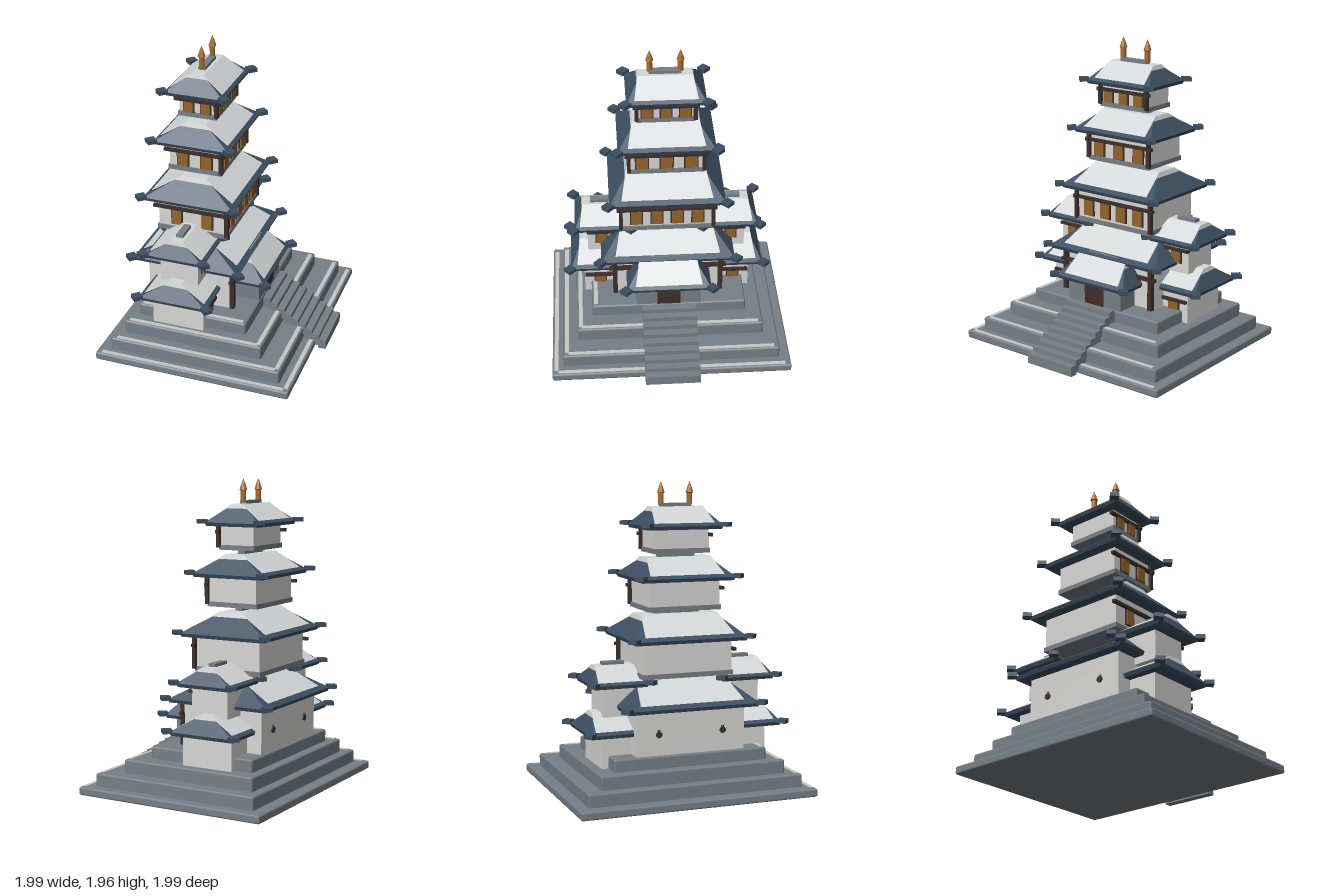
import * as THREE from 'three';
import { RoundedBoxGeometry } from 'three/addons/geometries/RoundedBoxGeometry.js';

const mat = (name, color) => {
  const m = new THREE.MeshStandardMaterial({ color });
  m.name = name;
  return m;
};

export function createModel() {
  const stone = mat('stone', 0x768087);
  const trim = mat('pale stone trim', 0xc6c8c8);
  const plaster = mat('plaster', 0xd6d6d4);
  const tile = mat('blue roof tile', 0x3c4f61);
  const panelWhite = mat('pale roof panel', 0xd3d7d8);
  const wood = mat('dark wood', 0x3e2f2a);
  const gold = mat('amber window', 0x94642a);
  const bronze = mat('bronze', 0xa46c2c);

  const model = new THREE.Group();
  model.name = 'pagodaCastle';
  const castle = new THREE.Group();
  castle.name = 'castle';
  castle.rotation.y = Math.PI / 4; // the plan sits diagonally
  model.add(castle);

  const add = (name, geo, material, x, y, z, parent = castle) => {
    const m = new THREE.Mesh(geo, material);
    m.name = name;
    m.position.set(x, y, z);
    parent.add(m);
    return m;
  };
  // box given by its full size, with y0 as its underside
  const box = (name, material, w, h, d, x, y0, z, parent) =>
    add(name, new THREE.BoxGeometry(w, h, d), material, x, y0 + h / 2, z, parent);
  const bevelBox = (name, material, w, h, d, x, y0, z, r = 0.012) =>
    add(name, new RoundedBoxGeometry(w, h, d, 1, r), material, x, y0 + h / 2, z);

  // four-sided tapered block, half sizes at bottom and top
  function taper(bx, bz, tx, tz, h) {
    const g = new THREE.BoxGeometry(2, h, 2).toNonIndexed();
    const p = g.attributes.position;
    for (let i = 0; i < p.count; i++) {
      const top = p.getY(i) > 0;
      p.setX(i, p.getX(i) * (top ? tx : bx));
      p.setZ(i, p.getZ(i) * (top ? tz : bz));
    }
    g.computeVertexNormals();
    return g;
  }

  // hipped roof: eave slab, tiled hips, pale front and back panels, ridge cap, corner blocks
  function roof(name, hx, hz, x, y0, z, rise, tz, capX) {
    const g = new THREE.Group();
    g.name = name;
    g.position.set(x, y0, z);
    castle.add(g);
    const ex = hx - 0.008, ez = hz - 0.01, tx = hx * 0.62;
    add('eave', taper(ex - 0.008, ez - 0.008, ex, ez, 0.022), tile, 0, 0.011, 0, g);
    add('hips', taper(ex, ez, tx, tz, rise), tile, 0, 0.022 + rise / 2, 0, g);
    const t = 0.16;
    const pz = ez + (tz - ez) * t + 0.007;
    add('panels', taper(hx * 0.77, pz, hx * 0.67, tz + 0.007, rise * (1 - t) + 0.002), panelWhite,
      0, 0.022 + rise * (1 + t) / 2 + 0.001, 0, g);
    box('ridgeCap', stone, capX * 2, 0.022, 0.045, 0, 0.022 + rise, 0, g);
    for (const sx of [-1, 1]) for (const sz of [-1, 1]) {
      const c = box('cornerBlock', tile, 0.058, 0.026, 0.058, sx * hx, 0.016, sz * hz, g);
      c.rotation.y = Math.PI / 4;
    }
  }

  const win = (x, y0, z, w, h, side) => {
    const g = new THREE.Group();
    g.name = 'window';
    g.position.set(x, y0, z);
    if (side) g.rotation.y = -Math.PI / 2;
    castle.add(g);
    box('frame', wood, w + 0.014, h + 0.01, 0.008, 0, -0.005, 0.003, g);
    box('pane', gold, w, h, 0.02, 0, 0, 0.006, g);
  };

  // stepped stone base: half width, half depth, centre z, bottom, top
  for (const [hx, hz, cz, y0, y1] of [
    [0.771, 0.643, 0, 0, 0.053], [0.7, 0.562, 0, 0.04, 0.135],
    [0.605, 0.458, -0.046, 0.12, 0.222], [0.502, 0.361, -0.085, 0.21, 0.3]]) {
    bevelBox('baseTier', stone, hx * 2, y1 - y0, hz * 2, 0, y0, cz);
    box('tierTrim', trim, 0.026, 0.004, hz * 1.88, -hx + 0.026, y1 - 0.001, cz);
    if (y1 < 0.29) box('tierTrim', trim, hx * 1.9, 0.004, 0.026, 0, y1 - 0.001, cz + hz - 0.026);
  }

  // stairs
  for (let i = 0; i < 9; i++) {
    const top = 0.305 - 0.03 * i;
    const h = Math.min(0.075, top - 0.002);
    box('stairStep', stone, 0.352, h, 0.05, 0, top - h, 0.313 + 0.047 * i);
  }

  // main hall
  const cz = -0.152;
  box('hallWalls', plaster, 0.71, 0.3, 0.55, 0, 0.29, cz);
  for (const s of [-1, 1]) {
    box('hallPost', wood, 0.03, 0.28, 0.03, s * 0.345, 0.3, 0.135);
    const vent = add('backVent', new THREE.CylinderGeometry(0.02, 0.02, 0.012, 10), wood, s * 0.21, 0.43, cz - 0.278);
    vent.rotation.x = Math.PI / 2;
  }
  box('hallBeam', wood, 0.76, 0.022, 0.025, 0, 0.49, 0.135);
  roof('hallRoof', 0.44, 0.359, 0, 0.575, cz, 0.14, 0.1, 0.2);

  // upper storeys: half sizes, floor, wall top, beam height, front window places, window size
  for (const [hx, hz, y0, y1, beamY, xs, w, wy, wh] of [
    [0.297, 0.232, 0.765, 1.0, 0.918, [-0.197, -0.065, 0.065, 0.197], 0.07, 0.815, 0.095],
    [0.238, 0.175, 1.17, 1.37, 1.295, [-0.155, 0, 0.155], 0.075, 1.207, 0.088],
    [0.182, 0.125, 1.52, 1.68, 1.622, [-0.118, 0, 0.118], 0.066, 1.55, 0.078]]) {
    box('storeyFloor', stone, hx * 2, 0.03, hz * 2, 0, y0, cz);
    const wx = hx - 0.008, wz = hz - 0.008;
    box('storeyWalls', plaster, wx * 2, y1 - y0 - 0.02, wz * 2, 0, y0 + 0.02, cz);
    for (const x of xs) win(x, wy, cz + wz, w, wh, false);
    for (const s of [-1, 1]) {
      win(-wx, wy, cz + s * hz * 0.44, w * 0.9, wh, true);
      box('cornerPost', wood, 0.024, y1 - y0 - 0.03, 0.024, s * hx, y0 + 0.015, cz + hz);
    }
    box('frontBeam', wood, hx * 2 + 0.05, 0.02, 0.022, 0, beamY, cz + hz);
    box('sideBeam', wood, 0.022, 0.02, hz * 2 + 0.05, -hx, beamY, cz);
  }
  roof('thirdRoof', 0.378, 0.308, 0, 0.985, cz, 0.133, 0.075, 0.15);
  roof('fourthRoof', 0.315, 0.255, 0, 1.355, cz, 0.115, 0.06, 0.12);
  roof('topRoof', 0.255, 0.2, 0, 1.668, cz, 0.112, 0.035, 0.1);

  // ridge finials
  const finial = [[0, 0], [0.018, 0], [0.018, 0.07], [0.025, 0.075], [0.014, 0.11], [0, 0.145]]
    .map(([r, y]) => new THREE.Vector2(r, y));
  const finialGeo = new THREE.LatheGeometry(finial, 8).toNonIndexed();
  finialGeo.computeVertexNormals();
  for (const s of [-1, 1]) add('finial', finialGeo, bronze, s * 0.095, 1.815, cz);

  // side wings, two storeys each
  for (const s of [-1, 1]) {
    box('wingLowerWalls', plaster, 0.245, 0.24, 0.34, s * 0.4225, 0.215, -0.157);
    win(s * 0.44, 0.265, 0.013, 0.07, 0.085, false);
    box('wingLowerBeam', wood, 0.2, 0.018, 0.025, s * 0.44, 0.352, 0.022);
    roof('wingLowerRoof', 0.215, 0.233, s * 0.425, 0.418, -0.163, 0.112, 0.035, 0.07);
    box('wingUpperWalls', plaster, 0.235, 0.2, 0.25, s * 0.3975, 0.53, -0.157);
    win(s * 0.425, 0.595, -0.032, 0.065, 0.08, false);
    box('wingUpperBeam', wood, 0.19, 0.018, 0.025, s * 0.425, 0.672, -0.024);
    roof('wingUpperRoof', 0.185, 0.2, s * 0.42, 0.715, -0.16, 0.1, 0.035, 0.07);
  }

  // entrance porch
  box('porchWalls', stone, 0.42, 0.17, 0.2, 0, 0.29, 0.17);
  box('door', wood, 0.15, 0.155, 0.008, 0, 0.3, 0.272);
  roof('porchRoof', 0.28, 0.175, 0, 0.435, 0.156, 0.135, 0.03, 0.115);

  return model;
}
